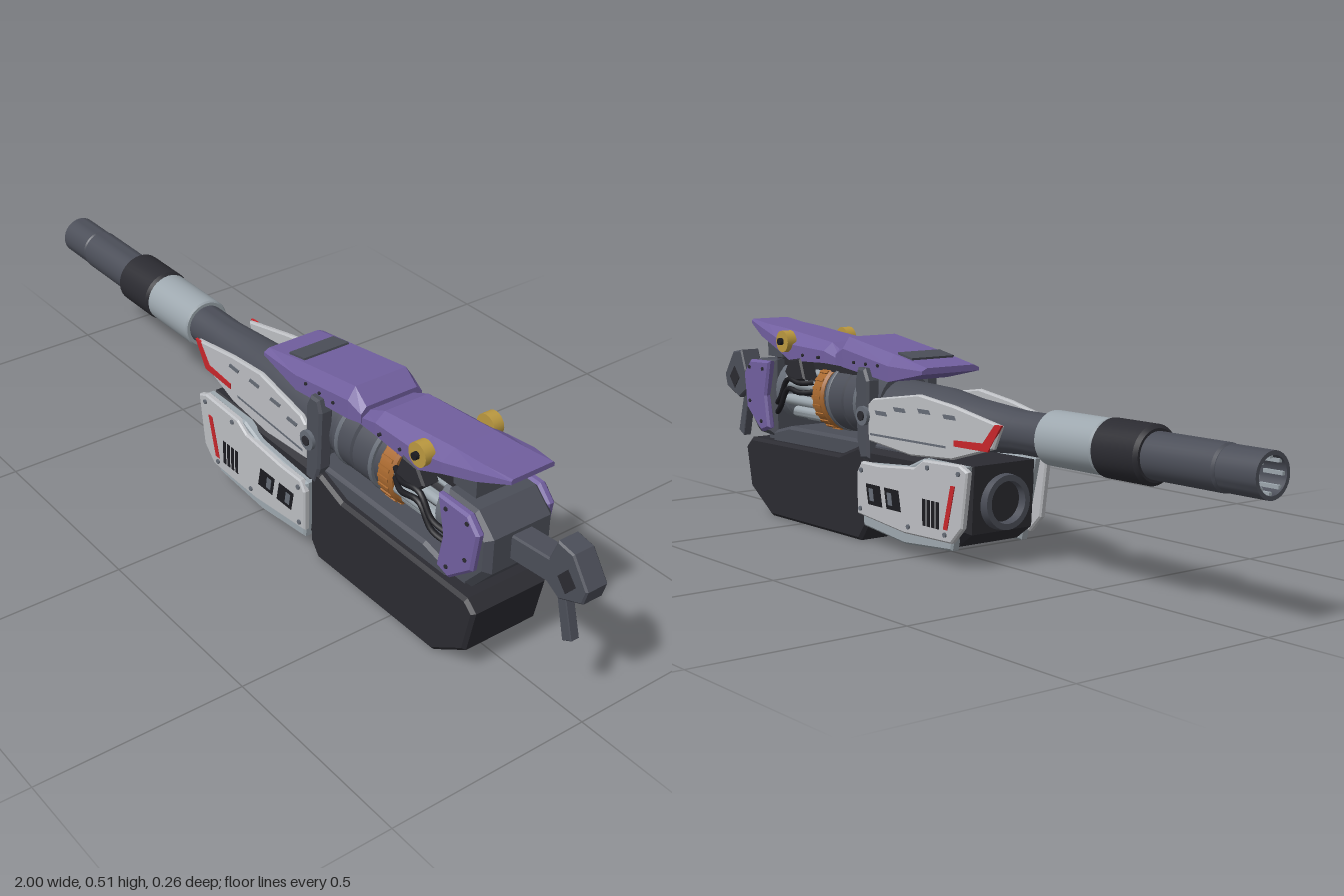
import * as THREE from 'three';
import { toCreasedNormals } from 'three/addons/utils/BufferGeometryUtils.js';

const M = {};
for (const [name, color] of Object.entries({
  gunmetal: 0x4b4e58, charcoal: 0x2b2b31, steel: 0x666c76, silver: 0x9da7ae, panelWhite: 0xbcbec2,
  purple: 0x715f9f, red: 0xc8262b, gold: 0xba983f, copper: 0xa9692f, black: 0x1b1b20,
})) {
  M[name] = new THREE.MeshStandardMaterial({ color });
  M[name].name = name;
}

export function createModel() {
  const root = new THREE.Group();
  root.name = 'heavyCannon';
  const add = (name, geo, mat, parent = root) => {
    const m = new THREE.Mesh(geo, mat);
    m.name = name;
    parent.add(m);
    return m;
  };
  // Side profile in x/y, extruded from z0 to z1 with a chamfer
  const slab = (pts, z0, z1, bevel = 0) => {
    const shape = new THREE.Shape(pts.map(p => new THREE.Vector2(p[0], p[1])));
    const g = new THREE.ExtrudeGeometry(shape, {
      depth: z1 - z0 - 2 * bevel, bevelEnabled: bevel > 0, bevelSize: bevel,
      bevelThickness: bevel, bevelOffset: -bevel, bevelSegments: 1,
    });
    return g.translate(0, 0, z0 + bevel);
  };
  // The same slab on both flanks; slant moves it outward along x
  const flank = (name, pts, z0, z1, mat, bevel = 0, slant = 0) => {
    for (const s of [1, -1]) {
      const g = s > 0 ? slab(pts, z0, z1, bevel) : slab(pts, -z1, -z0, bevel);
      const p = g.attributes.position;
      for (let i = 0; i < p.count; i++) p.setZ(i, p.getZ(i) + s * slant * p.getX(i));
      g.computeVertexNormals();
      add(name + (s > 0 ? 'Left' : 'Right'), g, mat);
    }
  };
  const rect = (x0, x1, y0, y1, lean = 0) => [[x0 + lean, y0], [x1 + lean, y0], [x1, y1], [x0, y1]];
  const box = (name, x0, x1, y0, y1, w, mat) => {
    const g = new THREE.BoxGeometry(x1 - x0, y1 - y0, 2 * w);
    return add(name, g.translate((x0 + x1) / 2, (y0 + y1) / 2, 0), mat);
  };
  // Turned part along x from [x, radius] pairs
  const turned = (name, prof, y, mat, sides = 32) => {
    const g = new THREE.LatheGeometry(prof.map(([x, r]) => new THREE.Vector2(r, x)), sides);
    g.rotateZ(-Math.PI / 2).translate(0, y, 0);
    return add(name, toCreasedNormals(g, 0.5), mat);
  };
  const drum = (name, x0, x1, r, y, mat, c = 0.005) =>
    turned(name, [[x0, 0], [x0, r - c], [x0 + c, r], [x1 - c, r], [x1, r - c], [x1, 0]], y, mat);
  // Armour shell lofted from [x, top, shoulder, bottom, topHalf, sideHalf]
  const shell = (name, sections, mat) => {
    const rings = sections.map(([x, t, m, b, wt, ws]) =>
      [[x, t, wt], [x, m, ws], [x, b, ws], [x, b, -ws], [x, m, -ws], [x, t, -wt]]);
    const v = [];
    for (let i = 0; i + 1 < rings.length; i++)
      for (let k = 0; k < 6; k++) {
        const n = (k + 1) % 6, A = rings[i], B = rings[i + 1];
        v.push(...A[k], ...A[n], ...B[n], ...A[k], ...B[n], ...B[k]);
      }
    const F = rings[0], E = rings[rings.length - 1];
    for (let k = 1; k < 5; k++) v.push(...F[0], ...F[k + 1], ...F[k], ...E[0], ...E[k], ...E[k + 1]);
    const g = new THREE.BufferGeometry();
    g.setAttribute('position', new THREE.Float32BufferAttribute(v, 3));
    g.computeVertexNormals();
    return add(name, g, mat);
  };
  // Round stud pointing outward on each flank
  const stud = (name, x, y, r, z0, z1, mat, sides = 12) => {
    for (const s of [1, -1]) {
      const g = new THREE.CylinderGeometry(r, r, z1 - z0, sides).rotateX(Math.PI / 2);
      add(name, g.translate(x, y, s * (z0 + z1) / 2), mat);
    }
  };

  // Barrel
  const by = 0.318;
  turned('muzzle', [[-0.92, 0], [-0.92, 0.038], [-1, 0.04], [-1, 0.049], [-0.895, 0.049], [-0.89, 0.046],
    [-0.885, 0.051], [-0.69, 0.051], [-0.69, 0]], by, M.gunmetal);
  drum('muzzleBore', -0.925, -0.915, 0.037, by, M.black, 0.001);
  for (let i = 0; i < 8; i++) {
    const a = i * Math.PI / 4;
    const g = new THREE.BoxGeometry(0.05, 0.008, 0.008);
    add('muzzleRib', g.translate(-0.97, by + 0.037 * Math.cos(a), 0.037 * Math.sin(a)), M.silver);
  }
  drum('darkSleeve', -0.69, -0.55, 0.065, by, M.charcoal, 0.008);
  drum('silverSleeve', -0.55, -0.37, 0.062, by, M.silver, 0.004);
  turned('barrelBase', [[-0.37, 0], [-0.37, 0.05], [-0.27, 0.05], [-0.1, 0.062], [0, 0.075], [0.2, 0.082], [0.2, 0]],
    by, M.gunmetal);

  // Receiver core
  const cy = 0.335;
  turned('receiverDrum', [[0.18, 0], [0.18, 0.08], [0.255, 0.08], [0.26, 0.086], [0.325, 0.086], [0.33, 0.078],
    [0.335, 0.086], [0.39, 0.086], [0.395, 0.08], [0.42, 0.08], [0.42, 0]], cy, M.gunmetal);
  for (const x of [0.27, 0.39]) drum('drumBand', x, x + 0.012, 0.089, cy, M.steel, 0.002);
  drum('copperCoil', 0.42, 0.468, 0.088, cy, M.copper, 0.006);
  for (let i = 0; i < 24; i++) {
    const g = new THREE.BoxGeometry(0.034, 0.006, 0.008).translate(0.444, 0.088, 0);
    add('coilTooth', g.rotateX(i * Math.PI / 12).translate(0, cy, 0), M.copper);
  }
  drum('innerCore', 0.46, 0.66, 0.055, cy, M.charcoal);
  for (let i = 0; i < 10; i++) {
    const g = new THREE.CylinderGeometry(0.014, 0.014, 0.16, 10).rotateZ(Math.PI / 2).translate(0.54, 0.068, 0);
    add('coreRod', toCreasedNormals(g.rotateX(i * Math.PI / 5).translate(0, cy, 0), 0.7), M.silver);
  }
  drum('rearCollar', 0.605, 0.65, 0.082, cy, M.steel);
  box('topRail', 0.15, 0.68, 0.4, 0.43, 0.055, M.charcoal);
  add('receiverFloor', slab([[-0.05, 0.2], [0.66, 0.18], [0.66, 0.225], [0.58, 0.245], [-0.05, 0.25]], -0.085, 0.085, 0.008),
    M.gunmetal);
  flank('cableClamp', [[0.49, 0.375], [0.56, 0.365], [0.585, 0.39], [0.56, 0.425], [0.51, 0.43]], 0.05, 0.095, M.charcoal, 0.005);
  for (const s of [1, -1]) for (const d of [0, 0.025]) {
    const path = new THREE.CatmullRomCurve3([[0.47, 0.37 - d, 0.075], [0.51, 0.365 - d, 0.093],
      [0.57, 0.37 - d, 0.093], [0.61, 0.32 - d, 0.09], [0.65, 0.3 - d, 0.075]]
      .map(([x, y, z]) => new THREE.Vector3(x, y, s * z)));
    add('cable', new THREE.TubeGeometry(path, 20, 0.007, 8), M.black);
  }

  // Bracket between front plates and drum
  flank('bracket', [[0.19, 0.4], [0.205, 0.43], [0.235, 0.43], [0.245, 0.4], [0.24, 0.25], [0.225, 0.205], [0.19, 0.21]],
    0.07, 0.107, M.gunmetal, 0.006);
  stud('bracketKnob', 0.205, 0.315, 0.024, 0.1, 0.116, M.steel, 16);
  stud('bracketKnobCap', 0.205, 0.315, 0.012, 0.11, 0.12, M.charcoal);

  // Upper front side plates
  flank('upperPlate', [[-0.285, 0.34], [-0.125, 0.37], [0, 0.385], [0.17, 0.36], [0.19, 0.345], [0.19, 0.255],
    [0.03, 0.237], [-0.12, 0.245], [-0.26, 0.285]], 0.083, 0.098, M.panelWhite, 0.004, 0.05);
  flank('upperRedStripe', [[-0.29, 0.342], [-0.268, 0.342], [-0.228, 0.296], [-0.13, 0.292], [-0.13, 0.278], [-0.245, 0.278]],
    0.094, 0.1, M.red, 0, 0.05);
  for (const [x, y] of [[-0.13, 0.338], [-0.04, 0.342], [0.05, 0.337], [0.12, 0.322]])
    flank('upperSlot', rect(x, x + 0.04, y, y + 0.01, -0.006), 0.095, 0.1, M.steel, 0, 0.05);
  flank('upperGroove', rect(-0.1, 0.18, 0.27, 0.275), 0.095, 0.099, M.steel, 0, 0.05);

  // Lower front housing
  add('lowerHousing', slab([[-0.2, 0.24], [0.21, 0.235], [0.21, 0.05], [0.15, 0.035], [-0.14, 0.045], [-0.19, 0.08]],
    -0.1, 0.1, 0.012), M.charcoal);
  turned('frontPort', [[-0.16, 0], [-0.16, 0.045], [-0.215, 0.05], [-0.215, 0.064], [-0.18, 0.068], [-0.15, 0.068], [-0.15, 0]],
    0.15, M.gunmetal);
  flank('lowerPlateBacking', [[-0.2, 0.24], [-0.04, 0.24], [0.02, 0.215], [0.21, 0.2], [0.2, 0.045], [0.03, 0.027], [-0.15, 0.04]],
    0.09, 0.116, M.silver, 0.005);
  flank('lowerPlate', [[-0.22, 0.232], [-0.19, 0.245], [-0.055, 0.24], [-0.02, 0.218], [0.12, 0.205], [0.195, 0.205],
    [0.212, 0.18], [0.212, 0.075], [0.02, 0.056], [-0.16, 0.06], [-0.2, 0.1]], 0.108, 0.126, M.panelWhite, 0.004);
  flank('lowerRedStripe', rect(-0.177, -0.162, 0.09, 0.195, 0.028), 0.122, 0.128, M.red);
  for (let i = 0; i < 4; i++)
    flank('ventSlot', rect(-0.117 + i * 0.017, -0.106 + i * 0.017, 0.087, 0.15), 0.122, 0.127, M.black);
  for (const x of [0.04, 0.115]) {
    flank('window', rect(x, x + 0.057, 0.105, 0.155, -0.01), 0.122, 0.127, M.black);
    flank('windowInset', rect(x + 0.028, x + 0.045, 0.115, 0.145, -0.005), 0.124, 0.128, M.steel);
  }
  for (const [x, y] of [[-0.19, 0.225], [-0.075, 0.225], [0.19, 0.185], [0.195, 0.09], [0.0, 0.075], [-0.14, 0.078]])
    stud('panelBolt', x, y, 0.006, 0.122, 0.13, M.steel, 8);

  // Large lower magazine
  add('magazine', slab([[0.205, 0.235], [0.24, 0.235], [0.32, 0.205], [0.74, 0.2], [0.768, 0.175], [0.745, 0.065],
    [0.645, 0], [0.235, 0], [0.205, 0.04]], -0.104, 0.104, 0.008), M.charcoal);
  box('magazineRail', 0.3, 0.7, 0.195, 0.222, 0.07, M.gunmetal);

  // Rear block with side armour
  add('rearBlock', slab([[0.645, 0.415], [0.735, 0.412], [0.785, 0.365], [0.785, 0.28], [0.73, 0.215], [0.645, 0.21]],
    -0.092, 0.092, 0.015), M.gunmetal);
  flank('rearArmour', [[0.64, 0.412], [0.735, 0.41], [0.768, 0.375], [0.755, 0.28], [0.685, 0.222], [0.645, 0.235], [0.66, 0.32]],
    0.085, 0.107, M.purple, 0.006);
  for (const [x, y] of [[0.67, 0.39], [0.735, 0.39], [0.735, 0.3], [0.68, 0.25]])
    stud('armourBolt', x, y, 0.005, 0.102, 0.11, M.charcoal, 8);

  // Grip and lever
  add('grip', slab([[0.76, 0.355], [0.89, 0.365], [0.91, 0.418], [0.955, 0.41], [1, 0.345], [0.99, 0.31], [0.925, 0.284],
    [0.89, 0.305], [0.76, 0.295]], -0.029, 0.029, 0.004), M.gunmetal);
  flank('gripInset', [[0.92, 0.34], [0.945, 0.37], [0.97, 0.34], [0.945, 0.31]], 0.026, 0.031, M.charcoal);
  add('lever', slab([[0.9, 0.3], [0.925, 0.3], [0.957, 0.188], [0.932, 0.175]], -0.012, 0.012, 0.002), M.gunmetal);

  // Top armour
  shell('frontCover', [[0, 0.445, 0.438, 0.43, 0.07, 0.085], [0.13, 0.468, 0.44, 0.402, 0.07, 0.09],
    [0.32, 0.497, 0.468, 0.422, 0.07, 0.09], [0.36, 0.465, 0.45, 0.428, 0.07, 0.085]], M.purple);
  shell('rearCover', [[0.34, 0.445, 0.435, 0.422, 0.06, 0.08], [0.41, 0.476, 0.455, 0.425, 0.06, 0.086],
    [0.56, 0.49, 0.462, 0.42, 0.056, 0.093], [0.63, 0.497, 0.475, 0.447, 0.055, 0.09],
    [0.72, 0.503, 0.495, 0.472, 0.055, 0.078], [0.8, 0.512, 0.508, 0.5, 0.054, 0.058]], M.purple);
  const vent = new THREE.BoxGeometry(0.058, 0.009, 0.125).rotateZ(0.175);
  add('coverVent', vent.translate(0.098, 0.463, 0), M.gunmetal);
  box('coverSupport', 0.64, 0.71, 0.42, 0.462, 0.064, M.gunmetal);
  for (const x of [0.17, 0.22, 0.27, 0.43, 0.5])
    stud('coverBolt', x, 0.438, 0.004, 0.08, 0.094, M.charcoal, 8);

  // Gold hinge discs
  stud('hingeDisc', 0.573, 0.469, 0.028, 0.08, 0.107, M.gold, 20);
  stud('hingePin', 0.573, 0.469, 0.009, 0.1, 0.117, M.black, 10);
  return root;
}
